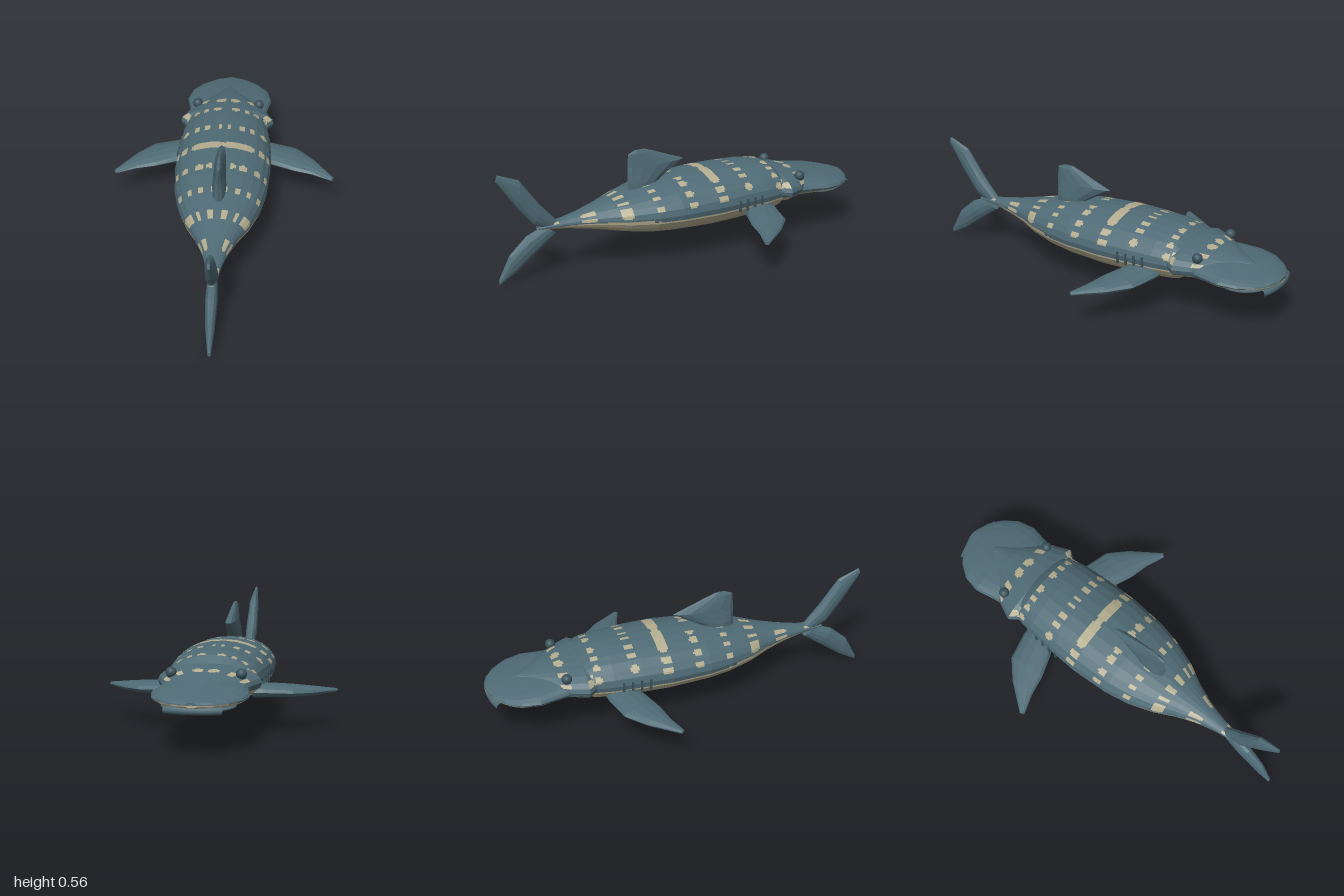
import * as THREE from 'three';

const mat = (name, color) => {
  const m = new THREE.MeshStandardMaterial({ color });
  m.name = name;
  return m;
};
const V = (x, y, z) => new THREE.Vector3(x, y, z);

// Skin a closed surface over rings of points; paint(point, column) picks the material index.
function loft(rings, paint = () => 0) {
  const n = rings[0].length;
  const centre = (r) => r.reduce((s, p) => s.add(p), V(0, 0, 0)).divideScalar(n);
  const centres = rings.map(centre);
  const mid = rings.length >> 1;
  const area = V(0, 0, 0);
  rings[mid].forEach((p, j) => {
    const a = p.clone().sub(centres[mid]);
    const b = rings[mid][(j + 1) % n].clone().sub(centres[mid]);
    area.add(a.cross(b));
  });
  const flip = area.dot(centres[rings.length - 1].clone().sub(centres[0])) < 0;
  const buckets = [[], []];
  const tri = (k, a, b, c) => {
    for (const p of flip ? [a, c, b] : [a, b, c]) buckets[k].push(p.x, p.y, p.z);
  };
  const last = rings.length - 1;
  for (let j = 0; j < n; j++) {
    const k = (j + 1) % n;
    for (let i = 0; i < last; i++) {
      const a = rings[i][j], b = rings[i][k], c = rings[i + 1][k], d = rings[i + 1][j];
      const m = paint(a.clone().add(c).multiplyScalar(0.5), (j + 0.5) / n);
      tri(m, a, b, c);
      tri(m, a, c, d);
    }
    tri(paint(rings[0][j], j / n), centres[0], rings[0][k], rings[0][j]);
    tri(paint(rings[last][j], j / n), centres[last], rings[last][j], rings[last][k]);
  }
  const g = new THREE.BufferGeometry();
  g.setAttribute('position', new THREE.Float32BufferAttribute(buckets.flat(), 3));
  g.addGroup(0, buckets[0].length / 3, 0);
  g.addGroup(buckets[0].length / 3, buckets[1].length / 3, 1);
  g.computeVertexNormals();
  return g;
}

// Faceted trunk from sections [z, half width, top y, bottom y], subdivided so markings can be painted.
function trunk(sections, paint, sides = 24, sub = 4, step = 0.009) {
  const rings = [];
  const ring = ([z, w, top, bottom]) => {
    const corner = (i) => {
      const a = (i / sides) * Math.PI * 2;
      return V(w * Math.sin(a), (top + bottom) / 2 + ((top - bottom) / 2) * Math.cos(a), z);
    };
    return Array.from({ length: sides * sub }, (_, j) =>
      corner(Math.floor(j / sub)).lerp(corner(Math.floor(j / sub) + 1), (j % sub) / sub));
  };
  for (let i = 0; i < sections.length - 1; i++) {
    const a = sections[i], b = sections[i + 1];
    const steps = Math.max(1, Math.round((b[0] - a[0]) / step));
    for (let s = 0; s < steps; s++) rings.push(ring(a.map((v, q) => v + ((b[q] - v) * s) / steps)));
  }
  rings.push(ring(sections[sections.length - 1]));
  return loft(rings, paint);
}

// Fin from rows [leading point, trailing point, half thickness] with a lens-shaped section.
function fin(rows, across) {
  return loft(rows.map(([lead, trail, t]) => {
    const c = lead.clone().add(trail).multiplyScalar(0.5);
    const h = lead.clone().sub(c);
    return Array.from({ length: 12 }, (_, j) => {
      const a = (j / 12) * Math.PI * 2;
      return c.clone().addScaledVector(h, Math.cos(a)).addScaledVector(across, t * Math.sin(a));
    });
  }));
}

// Spot rows: [z, half length, [from, to] degrees away from the spine, ...]
const spotRows = [
  [-0.635, 0.025, [5, 17], [33, 44], [62, 74]],
  [-0.515, 0.015, [55, 75]],
  [-0.475, 0.018, [9, 17], [27, 35], [43, 54], [64, 78]],
  [-0.29, 0.022, [2, 9], [18, 26], [33, 41], [54, 66]],
  [-0.125, 0.027, [0, 40], [48, 59], [66, 80]],
  [0.045, 0.023, [10, 17], [24, 33], [46, 56], [66, 78]],
  [0.21, 0.022, [5, 12], [21, 29], [40, 50], [62, 76]],
  [0.37, 0.03, [6, 20], [32, 42], [52, 85]],
  [0.54, 0.035, [32, 58], [70, 90]],
  [0.7, 0.015, [30, 60]],
];
function markings(p, u) {
  const a = 360 * Math.min(u, 1 - u);
  if (p.y < (p.z > 0.25 ? 0.255 : 0.246)) return 1;
  return spotRows.some(([z, h, ...spans]) =>
    spans.some(([from, to]) => {
      const da = (a - (from + to) / 2) / ((to - from) / 2), dz = (p.z - z) / h;
      return da ** 4 + dz ** 4 < 1;
    })) ? 1 : 0;
}

export function createModel() {
  const group = new THREE.Group();
  const skin = mat('slate blue skin', 0x4f6b75);
  const pale = mat('pale cream', 0xb4ad90);
  const dark = mat('dark slate', 0x3b525b);
  const add = (name, geometry, material) => {
    const m = new THREE.Mesh(geometry, material);
    m.name = name;
    group.add(m);
    return m;
  };

  // Body, tapering from neck to tail stalk
  add('body', trunk([
    [-0.54, 0.2, 0.355, 0.19], [-0.49, 0.215, 0.394, 0.145], [-0.4, 0.23, 0.405, 0.136],
    [-0.25, 0.24, 0.412, 0.13], [-0.1, 0.246, 0.413, 0.128], [0.1, 0.232, 0.4, 0.136],
    [0.22, 0.207, 0.383, 0.147], [0.35, 0.16, 0.355, 0.17], [0.45, 0.107, 0.33, 0.193],
    [0.55, 0.066, 0.307, 0.215], [0.65, 0.04, 0.288, 0.234], [0.79, 0.018, 0.266, 0.252],
  ], markings), [skin, pale]);

  // Skull, flaring at the gills
  add('skull', trunk([
    [-0.86, 0.01, 0.285, 0.23], [-0.83, 0.04, 0.298, 0.215], [-0.72, 0.13, 0.325, 0.2],
    [-0.62, 0.21, 0.346, 0.195], [-0.53, 0.25, 0.36, 0.188], [-0.48, 0.212, 0.35, 0.2],
  ], markings), [skin, pale]);

  // Broad flat snout with a pale underside
  add('snout', trunk([
    [-0.998, 0.03, 0.257, 0.232], [-0.975, 0.1, 0.264, 0.222], [-0.93, 0.16, 0.274, 0.214],
    [-0.86, 0.21, 0.288, 0.208], [-0.77, 0.23, 0.302, 0.204], [-0.68, 0.213, 0.314, 0.2],
    [-0.54, 0.19, 0.33, 0.196],
  ], (p) => (p.y < 0.243 ? 1 : 0)), [skin, pale]);

  // Mouth and front lip
  const mouth = add('mouth', new THREE.SphereGeometry(1, 28, 12), skin);
  mouth.scale.set(0.175, 0.018, 0.15);
  mouth.position.set(0, 0.212, -0.815);
  const lipPath = new THREE.CatmullRomCurve3(
    [V(-0.13, 0, -0.955), V(-0.08, 0, -0.972), V(0, 0, -0.98), V(0.08, 0, -0.972), V(0.13, 0, -0.955)]);
  const lip = add('frontLip', new THREE.TubeGeometry(lipPath, 16, 0.018, 8), skin);
  lip.position.y = 0.216;

  // Dorsal fin: rows of [y, front z, back z, half thickness]
  add('dorsalFin', fin([
    [0.36, 0.14, 0.295, 0.034], [0.4, 0.11, 0.295, 0.035], [0.44, 0.045, 0.295, 0.032],
    [0.48, -0.025, 0.294, 0.028], [0.52, 0.08, 0.292, 0.02], [0.548, 0.15, 0.29, 0.013],
    [0.564, 0.195, 0.255, 0.006],
  ].map(([y, a, b, t]) => [V(0, y, a), V(0, y, b), t]), V(1, 0, 0)), skin);

  // Tail lobes: rows of [lead z, lead y, trail z, trail y, half thickness]
  const lobe = (name, rows) => add(name, fin(
    rows.map(([az, ay, bz, by, t]) => [V(0, ay, az), V(0, by, bz), t]), V(1, 0, 0)), skin);
  lobe('upperTailLobe', [
    [0.69, 0.285, 0.75, 0.25, 0.024], [0.775, 0.38, 0.813, 0.28, 0.031],
    [0.877, 0.52, 0.893, 0.38, 0.026], [0.985, 0.563, 0.995, 0.53, 0.008]]);
  lobe('lowerTailLobe', [
    [0.69, 0.213, 0.755, 0.265, 0.024], [0.78, 0.147, 0.85, 0.227, 0.03],
    [0.91, 0.05, 0.94, 0.147, 0.022], [0.998, 0.003, 1.0, 0.03, 0.008]]);

  for (const side of [1, -1]) {
    const label = side > 0 ? 'left' : 'right';

    // Pectoral fin: rows of [lead x, lead z, trail x, trail z, y, half thickness]
    add(label + 'PectoralFin', fin([
      [0.19, -0.44, 0.19, -0.28, 0.207, 0.034], [0.24, -0.435, 0.25, -0.25, 0.206, 0.033],
      [0.38, -0.4, 0.36, -0.21, 0.2, 0.028], [0.47, -0.315, 0.46, -0.19, 0.193, 0.021],
      [0.575, -0.175, 0.56, -0.155, 0.184, 0.009],
    ].map(([ax, az, bx, bz, y, t]) => [V(side * ax, y, az), V(side * bx, y, bz), t]), V(0, 1, 0)), skin);

    // Eye
    const eye = add(label + 'Eye', new THREE.SphereGeometry(0.026, 16, 12), dark);
    eye.position.set(side * 0.166, 0.328, -0.625);

    // Gill slits
    for (let i = 0; i < 4; i++) {
      const slit = add(label + 'GillSlit', new THREE.BoxGeometry(0.012, 0.06, 0.01), dark);
      slit.position.set(side * (0.239 - i * 0.003), 0.258, -0.22 - i * 0.045);
    }
  }
  return group;
}
